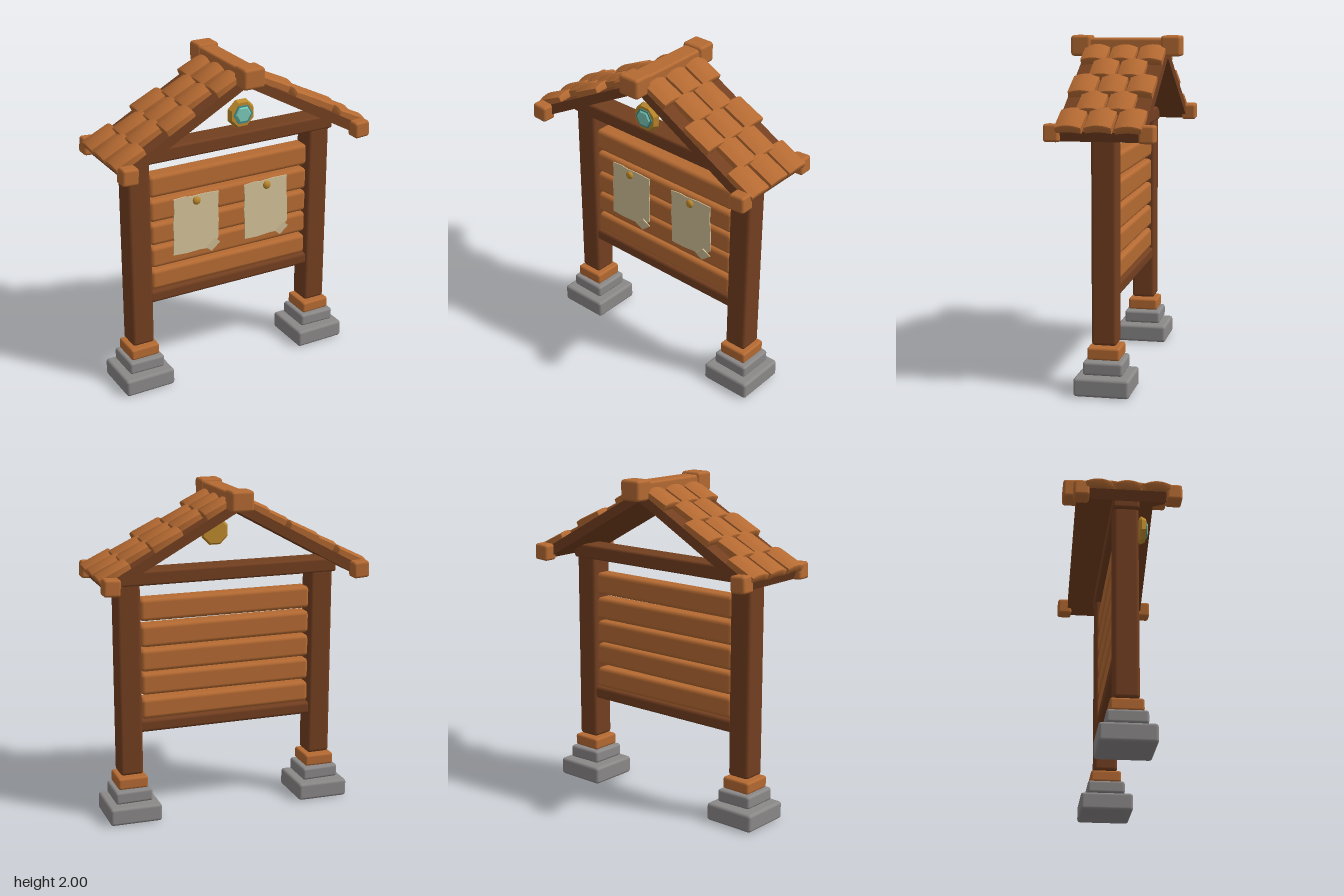
import * as THREE from 'three';
import { toCreasedNormals } from 'three/addons/utils/BufferGeometryUtils.js';
import { RoundedBoxGeometry } from 'three/addons/geometries/RoundedBoxGeometry.js';

const material = (name, color) => {
  const m = new THREE.MeshStandardMaterial({ color });
  m.name = name;
  return m;
};

export function createModel() {
  const model = new THREE.Group();
  model.name = 'noticeBoard';
  const wood = material('orange wood', 0xb56a32);
  const darkWood = material('dark wood', 0x733f20);
  const stone = material('grey stone', 0x8b8888);
  const paper = material('parchment', 0xd3c198);
  const gold = material('gold', 0xbd8a2c);
  const gem = material('pale teal gem', 0x7ac8b8);
  const gemRim = material('deep teal rim', 0x3f8f8c);

  let seed = 7;
  const jitter = (a) => {
    seed = (seed * 16807) % 2147483647;
    return (seed / 2147483647 - 0.5) * 2 * a;
  };
  const add = (name, geometry, mat, x = 0, y = 0, z = 0, rotZ = 0) => {
    const mesh = new THREE.Mesh(geometry, mat);
    mesh.name = name;
    mesh.position.set(x, y, z);
    mesh.rotation.z = rotZ;
    model.add(mesh);
    return mesh;
  };
  const block = (w, h, d, r) => new RoundedBoxGeometry(w, h, d, 2, r);
  const polygon = (points) => new THREE.Shape(points.map(([x, y]) => new THREE.Vector2(x, y)));

  // Posts on stepped footings
  for (const s of [-1, 1]) {
    const x = s * 0.607;
    add('baseStone', block(0.32, 0.108, 0.32, 0.018), stone, x, 0.055, 0, 0.01);
    add('upperStone', block(0.23, 0.078, 0.23, 0.016), stone, x, 0.157, 0, -0.015);
    add('postCollar', block(0.185, 0.072, 0.188, 0.014), wood, x, 0.236, 0, 0.01);
    add('post', block(0.142, 1.24, 0.145, 0.02), darkWood, x, 0.9, 0);
  }

  // Horizontal beams
  add('crossBeam', block(1.4, 0.088, 0.155, 0.015), darkWood, 0, 1.483, 0);
  add('bottomBeam', block(1.1, 0.078, 0.125, 0.02), darkWood, 0, 0.578, 0);

  // Board planks
  [[0.683, 0.128], [0.833, 0.135], [0.98, 0.138], [1.13, 0.138], [1.287, 0.137]].forEach(([y, h]) =>
    add('plank', block(1.07, h, 0.11, 0.025), wood, 0, y, 0, jitter(0.003)));

  // Roof panel: one folded board
  const panel = new THREE.ExtrudeGeometry(polygon([
    [0, 1.93], [-0.79, 1.5], [-0.765, 1.445], [0, 1.868], [0.765, 1.445], [0.79, 1.5],
  ]), { depth: 0.49, bevelEnabled: false });
  add('roofPanel', panel, darkWood, 0, 0, -0.245);

  // Arched shingle, its length along x
  const arch = new THREE.Shape();
  arch.moveTo(-0.066, -0.022);
  arch.quadraticCurveTo(0, -0.008, 0.066, -0.022);
  arch.lineTo(0.066, 0.002);
  arch.quadraticCurveTo(0, 0.03, -0.066, 0.002);
  const shingle = (length) => {
    const g = new THREE.ExtrudeGeometry(arch, {
      depth: length - 0.02, bevelThickness: 0.01, bevelSize: 0.009, bevelSegments: 2, curveSegments: 6,
    });
    g.translate(0, 0, 0.01 - length / 2);
    g.rotateY(Math.PI / 2);
    return toCreasedNormals(g, 0.7);
  };

  // Staggered courses of shingles: inner x, outer x, z centres
  const three = [-0.167, 0, 0.167];
  const two = [-0.083, 0.083];
  const courses = [
    [0.04, 0.195, three], [0.185, 0.35, two], [0.335, 0.51, three],
    [0.49, 0.665, two], [0.645, 0.82, three],
  ];
  const slope = 0.49;
  for (const s of [-1, 1]) {
    for (const [x0, x1, zs] of courses) {
      const x = (x0 + x1) / 2;
      const geometry = shingle((x1 - x0) / Math.cos(slope));
      for (const z of zs) {
        add('shingle', geometry, wood, s * x, 1.957 - 0.54 * x + jitter(0.002), z, -s * (slope - 0.04 + jitter(0.015)));
      }
    }
  }

  // Ridge beam with end caps, and caps at the eaves
  add('ridgeBeam', block(0.115, 0.1, 0.46, 0.015), wood, 0, 1.935, 0);
  for (const f of [-1, 1]) {
    add('ridgeCap', block(0.138, 0.122, 0.12, 0.018), wood, 0, 1.939, f * 0.271);
    for (const s of [-1, 1]) {
      add('eaveCap', block(0.1, 0.1, 0.09, 0.016), wood, s * 0.762, 1.491, f * 0.264, s * 0.06);
    }
  }

  // Notices with worn edges, one folded corner and a pin
  const sheet = new THREE.ExtrudeGeometry(polygon([
    [-0.15, 0.18], [-0.08, 0.186], [-0.03, 0.18], [0.05, 0.185], [0.15, 0.182], [0.147, 0.09],
    [0.153, 0], [0.152, -0.125], [0.1, -0.182], [0.03, -0.178], [-0.06, -0.184], [-0.15, -0.18],
    [-0.146, -0.08], [-0.152, 0.02], [-0.145, 0.1],
  ]), { depth: 0.006, bevelEnabled: false });
  const fold = new THREE.ExtrudeGeometry(polygon([
    [-0.052, -0.005], [-0.008, -0.045], [0.052, 0.003], [0.005, 0.045],
  ]), { depth: 0.006, bevelEnabled: false });
  const pinHead = new THREE.SphereGeometry(0.026, 12, 8);
  pinHead.scale(1, 1, 0.6);
  for (const s of [-1, 1]) {
    const x = s * 0.24;
    add('notice', sheet, paper, x, 1.003, 0.058, s * 0.02);
    const corner = add('foldedCorner', fold, paper, x + 0.107, 0.845, 0.071);
    corner.rotation.set(0.15, 0.15, 0);
    add('pin', pinHead, gold, x, 1.155, 0.073);
  }

  // Gable medallion: gold octagon with a hexagonal gem
  const disc = (r0, r1, depth, sides) => {
    const g = new THREE.CylinderGeometry(r0, r1, depth, sides);
    g.rotateY(Math.PI / sides);
    g.rotateX(Math.PI / 2);
    return toCreasedNormals(g, 0.4);
  };
  add('medallion', disc(0.076, 0.09, 0.03, 8), gold, 0, 1.69, 0.18);
  add('medallionBack', disc(0.09, 0.078, 0.012, 8), gold, 0, 1.69, 0.16);
  add('gemRim', disc(0.061, 0.061, 0.008, 6), gemRim, 0, 1.69, 0.197);
  add('gem', disc(0.043, 0.053, 0.009, 6), gem, 0, 1.69, 0.204);

  return model;
}
